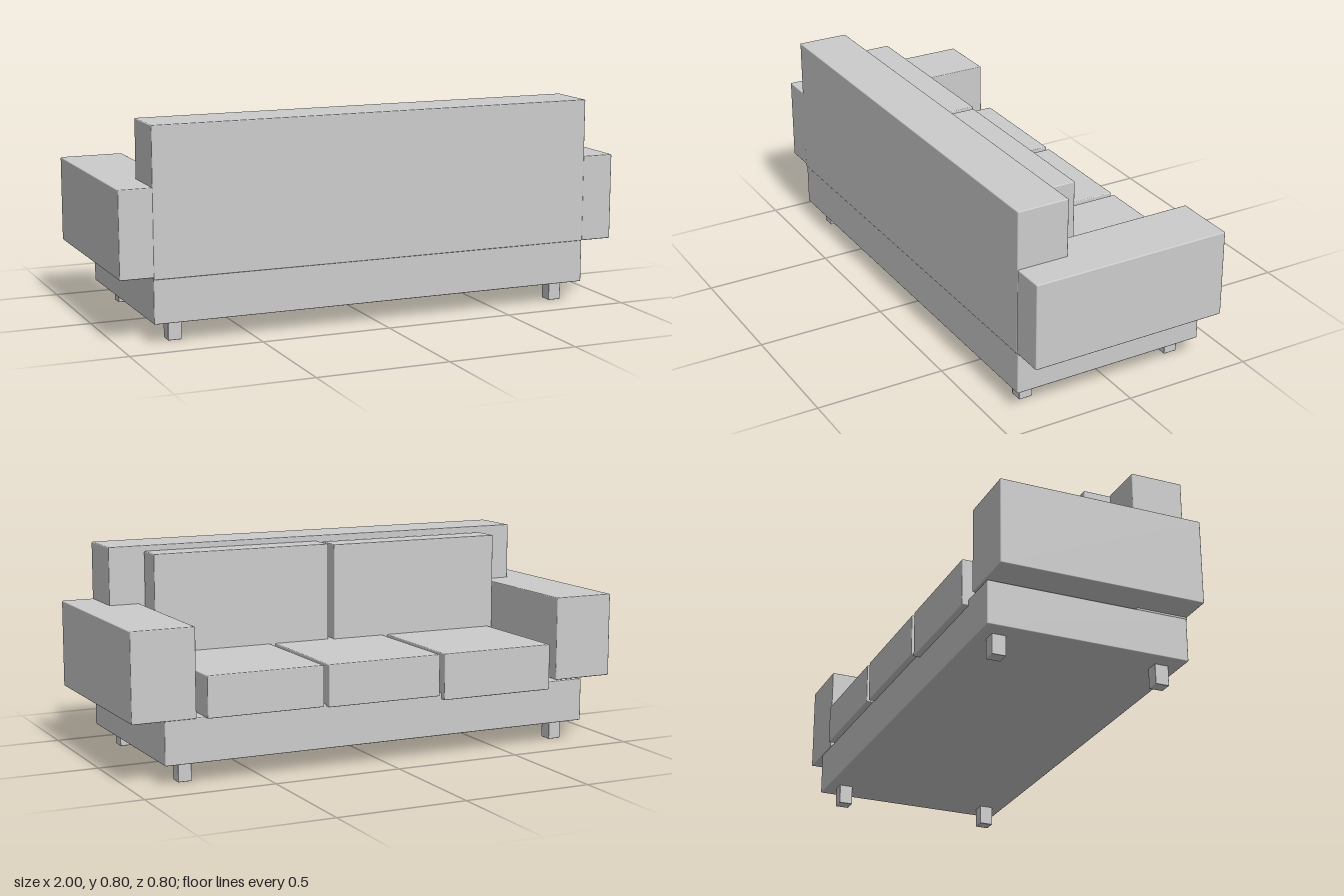
import * as THREE from 'three';
import { RoundedBoxGeometry } from 'three/addons/geometries/RoundedBoxGeometry.js';

export function createModel() {
  const sofa = new THREE.Group();
  sofa.name = 'sofa';
  const fabric = new THREE.MeshStandardMaterial({ color: 0xcccccc });
  fabric.name = 'light grey';

  // Softly bevelled block given by its extents on each axis
  function block(name, [x0, x1], [y0, y1], [z0, z1], bevel = 0.004) {
    const geometry = new RoundedBoxGeometry(x1 - x0, y1 - y0, z1 - z0, 1, bevel);
    const mesh = new THREE.Mesh(geometry, fabric);
    mesh.name = name;
    mesh.position.set((x0 + x1) / 2, (y0 + y1) / 2, (z0 + z1) / 2);
    sofa.add(mesh);
  }

  // Base and tall backrest; the seat opens towards -z
  block('base', [-0.875, 0.875], [0.076, 0.243], [-0.376, 0.397]);
  block('backrest', [-0.875, 0.875], [0.24, 0.796], [0.198, 0.401]);

  // Wide armrests overhanging the base
  block('rightArm', [-1, -0.755], [0.248, 0.574], [-0.381, 0.399]);
  block('leftArm', [0.755, 1], [0.24, 0.574], [-0.381, 0.399]);

  // Three seat cushions
  const seats = [[-0.712, -0.245, 0.218], [-0.225, 0.24, 0.236], [0.26, 0.72, 0.24]];
  for (const [x0, x1, bottom] of seats) {
    block('seatCushion', [x0, x1], [bottom, 0.397], [-0.401, 0.19]);
  }

  // Two loose back cushions
  block('rightBackCushion', [-0.73, -0.01], [0.38, 0.772], [0.075, 0.185]);
  block('leftBackCushion', [0.01, 0.735], [0.38, 0.775], [0.086, 0.196]);

  // Four short square legs
  for (const x of [-0.784, 0.784]) {
    for (const z of [-0.304, 0.324]) {
      block('leg', [x - 0.026, x + 0.026], [0, 0.08], [z - 0.027, z + 0.027], 0.003);
    }
  }
  return sofa;
}
